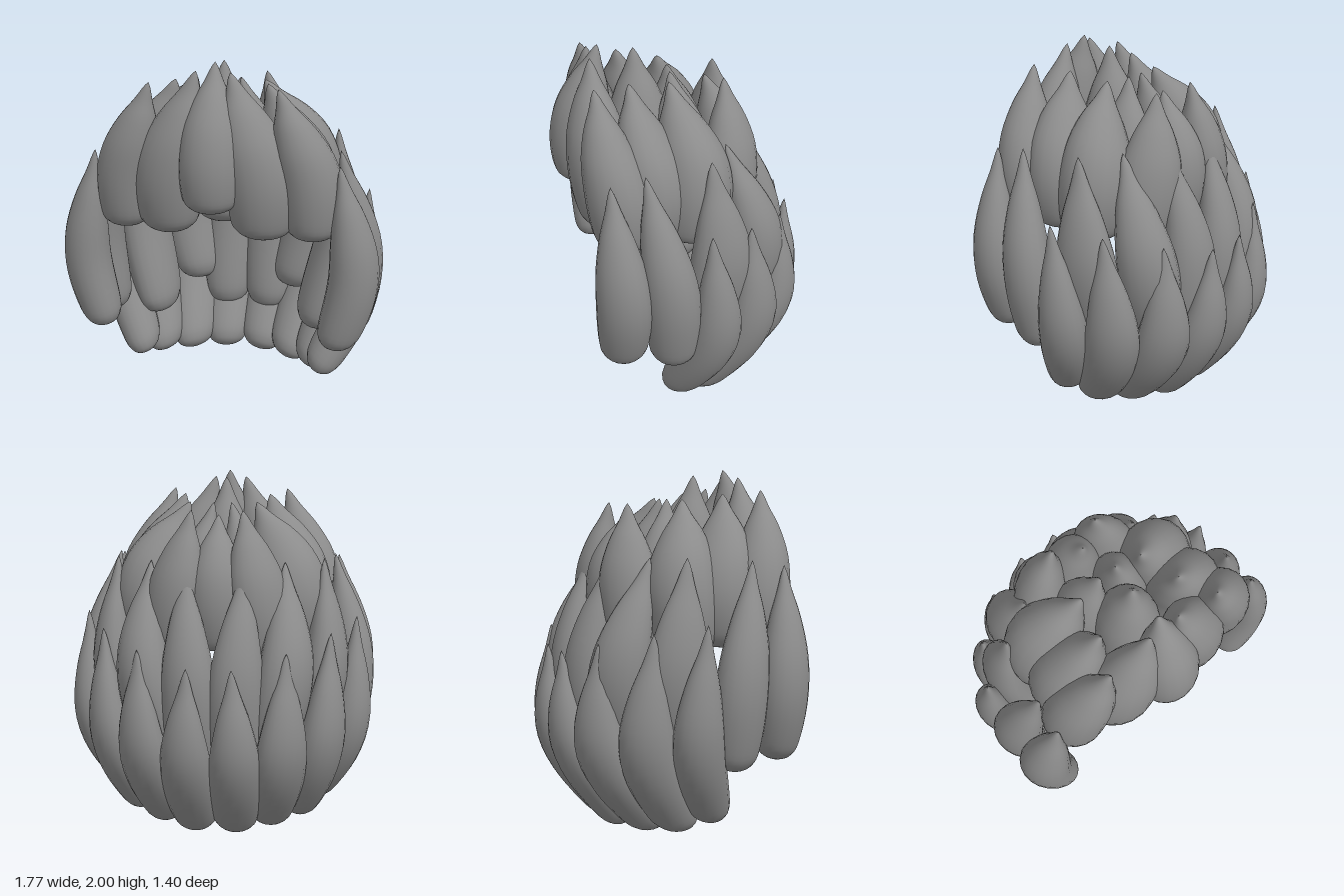
import * as THREE from 'three';

const material = new THREE.MeshStandardMaterial({ color: 0x8c8c8c });

// Thickness along a lock: blunt rounded root, full belly, long tapered tip
const profile = new THREE.SplineCurve([
  [0, 0], [0.012, 0.42], [0.045, 0.72], [0.12, 0.91], [0.32, 1], [0.54, 0.92],
  [0.73, 0.64], [0.87, 0.31], [0.96, 0.12], [1, 0],
].map(([t, r]) => new THREE.Vector2(t, r)));

// One lock swept through root, belly and tip; w and d are its half width and half depth
function lockGeometry(root, belly, tip, w, d) {
  const RINGS = 36, SIDES = 20;
  const curve = new THREE.CatmullRomCurve3([root, belly, tip].map((p) => new THREE.Vector3(...p)));
  const out = new THREE.Vector3(belly[0], 0, belly[2]).normalize();
  const side = new THREE.Vector3(0, 1, 0).cross(out);
  const positions = [], index = [];
  for (let i = 0; i <= RINGS; i++) {
    const { x: t, y: r } = profile.getPoint(i / RINGS);
    const u = Math.min(1, Math.max(0, t));
    const centre = curve.getPointAt(u);
    const normal = side.clone().cross(curve.getTangentAt(u)).normalize();
    for (let j = 0; j < SIDES; j++) {
      const a = (j / SIDES) * Math.PI * 2;
      const p = centre.clone()
        .addScaledVector(side, Math.cos(a) * w * r)
        .addScaledVector(normal, Math.sin(a) * d * r);
      positions.push(p.x, p.y, p.z);
      if (i < RINGS) {
        const k = i * SIDES + j, n = i * SIDES + ((j + 1) % SIDES);
        index.push(k, k + SIDES, n, n, k + SIDES, n + SIDES);
      }
    }
  }
  const geometry = new THREE.BufferGeometry();
  geometry.setAttribute('position', new THREE.Float32BufferAttribute(positions, 3));
  geometry.setIndex(index);
  geometry.computeVertexNormals();
  return geometry;
}

// Rows of locks on the left half: root, belly, tip, half width, half depth
const rows = {
  fringe: [
    [[0, 1.23, 0.54], [0, 1.52, 0.54], [0, 2, 0.43], 0.17, 0.165],
    [[0.26, 1.07, 0.42], [0.25, 1.42, 0.46], [0.09, 1.96, 0.48], 0.2, 0.17],
    [[0.52, 1.06, 0.38], [0.5, 1.4, 0.41], [0.34, 1.89, 0.49], 0.175, 0.16],
  ],
  lowerRow: [
    [[0.66, 0.45, 0.42], [0.75, 0.88, 0.42], [0.66, 1.5, 0.46], 0.15, 0.13],
    [[0.7, 0.42, 0.15], [0.75, 0.9, 0.17], [0.64, 1.53, 0.28], 0.15, 0.13],
    [[0.52, 0.11, 0.1], [0.73, 0.58, -0.07], [0.77, 1.22, -0.04], 0.145, 0.125],
    [[0.44, 0.055, -0.05], [0.59, 0.55, -0.3], [0.63, 1.17, -0.28], 0.16, 0.125],
    [[0.29, 0.035, -0.15], [0.38, 0.53, -0.48], [0.4, 1.1, -0.5], 0.16, 0.125],
    [[0.11, 0.02, -0.24], [0.135, 0.53, -0.565], [0.12, 1.03, -0.61], 0.15, 0.125],
  ],
  middleRow: [
    [[0.125, 0.27, -0.36], [0.13, 0.92, -0.46], [0.16, 1.54, -0.335], 0.16, 0.135],
    [[0.28, 0.45, -0.32], [0.39, 0.95, -0.38], [0.37, 1.54, -0.19], 0.17, 0.14],
    [[0.46, 0.33, -0.05], [0.6, 0.95, -0.13], [0.58, 1.55, -0.07], 0.19, 0.135],
  ],
  crown: [
    [[0, 1.08, 0.26], [0, 1.5, 0.22], [0, 1.97, 0.24], 0.18, 0.19],
    [[0.4, 1.04, 0.2], [0.41, 1.38, 0.2], [0.25, 1.87, 0.3], 0.19, 0.21],
    [[0.12, 1.05, -0.02], [0.13, 1.45, -0.01], [0.05, 1.84, 0.05], 0.17, 0.14],
    [[0.4, 1.02, 0], [0.39, 1.38, -0.02], [0.19, 1.84, 0.08], 0.2, 0.21],
    [[0, 1.05, -0.22], [0, 1.42, -0.25], [0, 1.79, -0.15], 0.165, 0.16],
    [[0.27, 1.0, -0.22], [0.23, 1.36, -0.25], [0.14, 1.82, -0.225], 0.18, 0.145],
  ],
};

export function createModel() {
  const group = new THREE.Group();
  group.name = 'hair';
  for (const [name, locks] of Object.entries(rows)) {
    const row = new THREE.Group();
    row.name = name;
    for (const [root, belly, tip, w, d] of locks) {
      // Locks on the centre line are single, the others come in mirrored pairs
      for (const s of belly[0] === 0 ? [1] : [1, -1]) {
        const flip = ([x, y, z]) => [x * s, y, z];
        const lock = new THREE.Mesh(lockGeometry(flip(root), flip(belly), flip(tip), w, d), material);
        lock.name = `${name}Lock`;
        row.add(lock);
      }
    }
    group.add(row);
  }
  return group;
}
